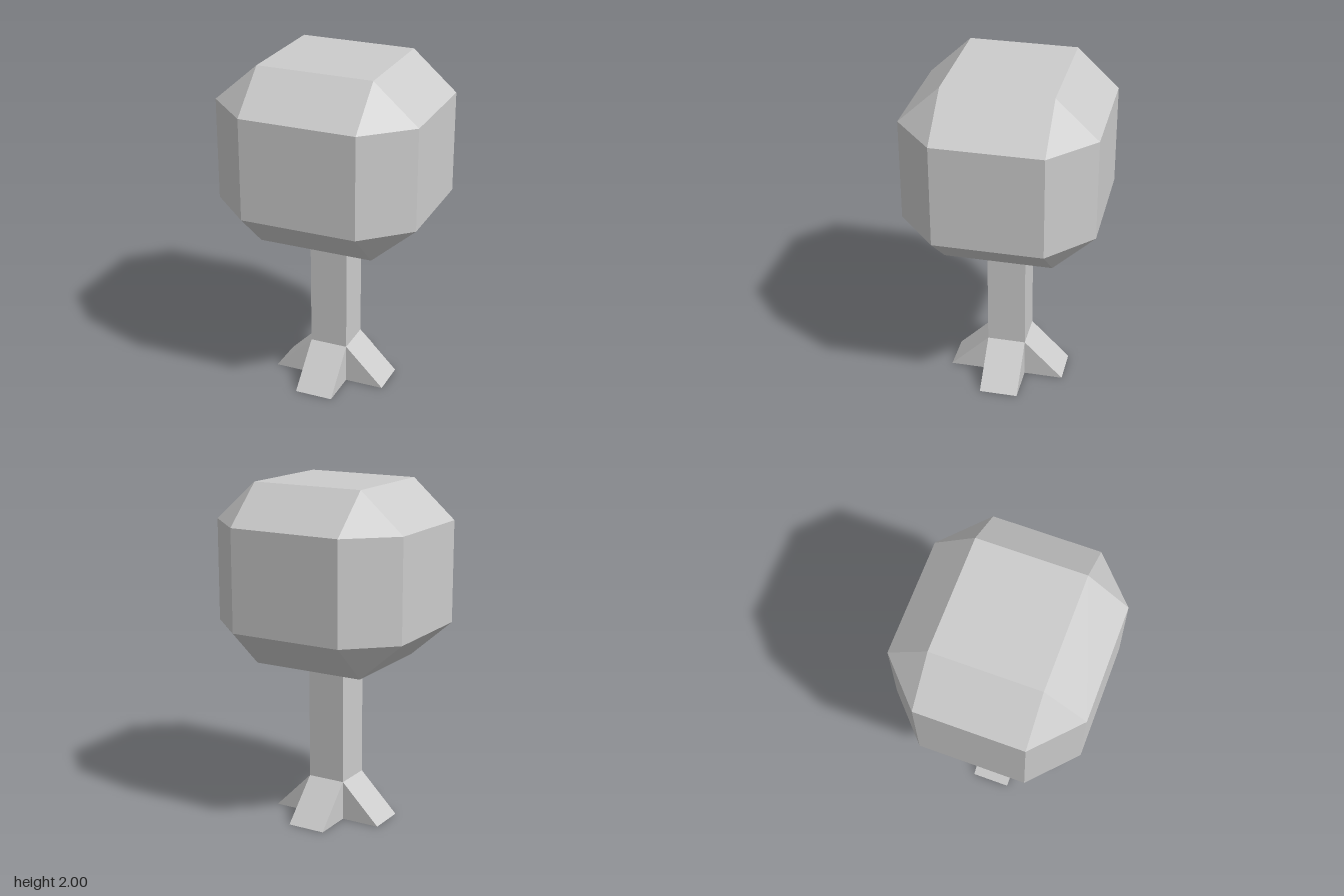
import * as THREE from 'three';
import { ConvexGeometry } from 'three/addons/geometries/ConvexGeometry.js';

const material = new THREE.MeshStandardMaterial({ color: 0xcccccc, flatShading: true });

function addPart(parent, geometry, name) {
  const mesh = new THREE.Mesh(geometry, material);
  mesh.name = name;
  parent.add(mesh);
  return mesh;
}

export function createModel() {
  const tree = new THREE.Group();
  tree.name = 'tree';

  // Crown: a box with every edge and corner bevelled
  const half = new THREE.Vector3(0.6, 0.525, 0.553);
  const inner = new THREE.Vector3(0.34, 0.298, 0.312);
  const points = [];
  for (const sx of [-1, 1]) for (const sy of [-1, 1]) for (const sz of [-1, 1]) {
    for (const axis of ['x', 'y', 'z']) {
      const p = inner.clone();
      p[axis] = half[axis];
      points.push(p.multiply(new THREE.Vector3(sx, sy, sz)));
    }
  }
  addPart(tree, new ConvexGeometry(points), 'crown').position.y = 1.475;

  // Trunk and roots share a slightly offset centre
  const stem = new THREE.Group();
  stem.name = 'stem';
  stem.position.set(-0.003, 0, 0.003);
  tree.add(stem);

  // Trunk: square post running up to the crown
  const width = 0.228, height = 0.955;
  addPart(stem, new THREE.BoxGeometry(width, height, width), 'trunk').position.y = height / 2;

  // Roots: one wedge on each side of the trunk
  const profile = new THREE.Shape([
    new THREE.Vector2(width / 2, 0),
    new THREE.Vector2(0.347, 0),
    new THREE.Vector2(width / 2, 0.233),
  ]);
  const wedge = new THREE.ExtrudeGeometry(profile, { depth: width, bevelEnabled: false });
  wedge.translate(0, 0, -width / 2);
  ['leftRoot', 'backRoot', 'rightRoot', 'frontRoot'].forEach((name, i) => {
    addPart(stem, wedge, name).rotation.y = i * Math.PI / 2;
  });

  return tree;
}
